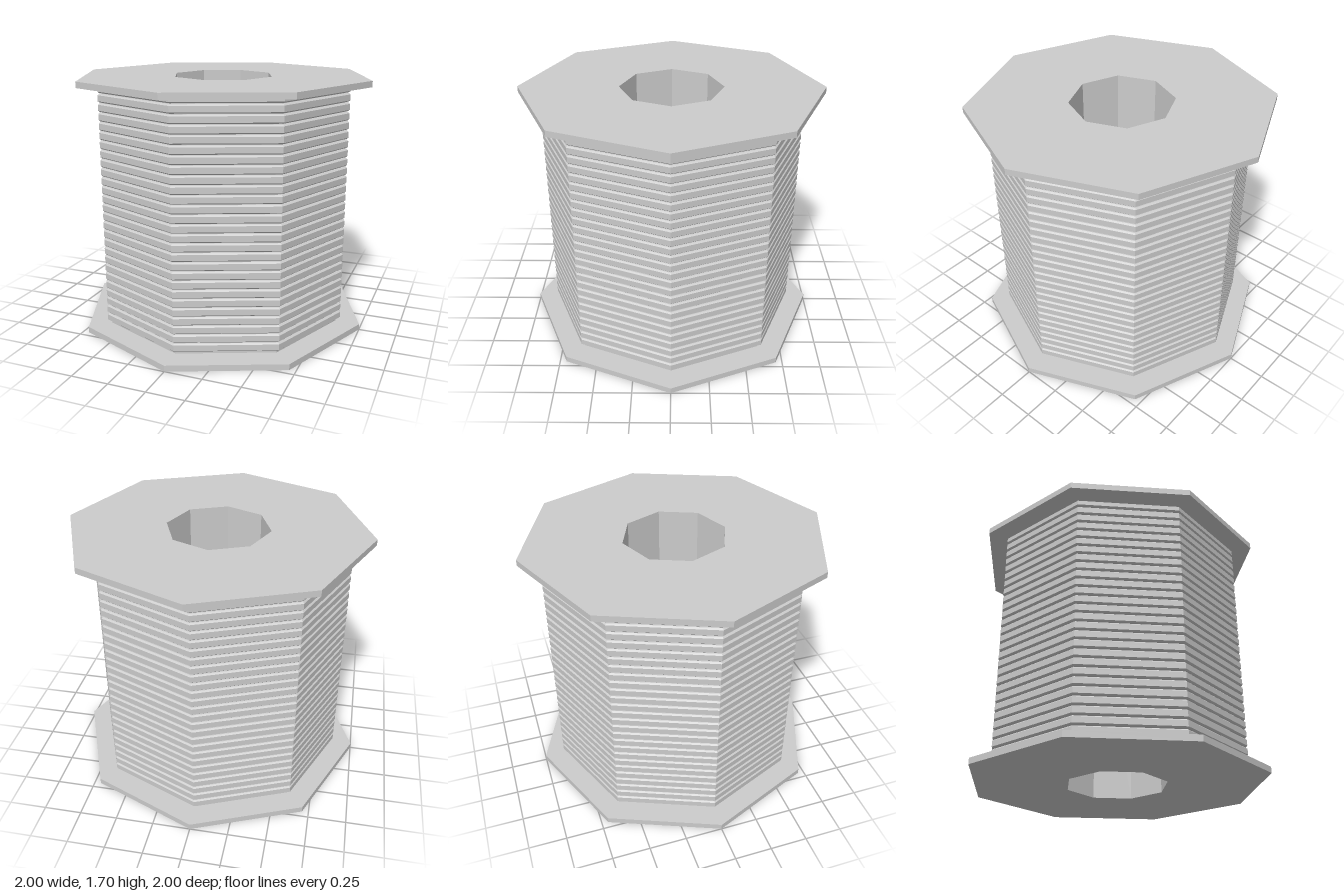
import * as THREE from 'three';

const SIDES = 8;
const HEIGHT = 1.7, FLANGE = 0.04;
const R_FLANGE = 1, R_BORE = 0.342, R_CORE = 0.835, R_WIRE = 0.865;
const PITCH = 0.06, FIRST = 0.06;

export function createModel() {
  const group = new THREE.Group();
  const material = new THREE.MeshStandardMaterial({ color: 0xcccccc, flatShading: true });

  // Eight-sided turned part from [radius, y] pairs; outer walls run upwards
  const turn = (name, profile) => {
    const points = profile.map(([r, y]) => new THREE.Vector2(r, y));
    const mesh = new THREE.Mesh(new THREE.LatheGeometry(points, SIDES), material);
    mesh.name = name;
    group.add(mesh);
  };

  // End plates with a central hole
  const flange = (name, y) => turn(name, [
    [R_BORE, y], [R_FLANGE, y], [R_FLANGE, y + FLANGE], [R_BORE, y + FLANGE],
  ]);
  flange('bottomFlange', 0);
  flange('topFlange', HEIGHT - FLANGE);

  // Inner wall of the hole through the spool
  turn('bore', [[R_BORE, HEIGHT], [R_BORE, 0]]);

  // Wound layers: bevelled bands separated by narrow grooves
  const top = HEIGHT - FLANGE;
  const winding = [[R_CORE, FLANGE]];
  for (let y = FIRST; y < top - 0.001; y += PITCH) {
    winding.push([R_CORE, y + 0.003], [R_WIRE - 0.01, y + 0.003], [R_WIRE, y + 0.011]);
    if (y + PITCH > top) {
      winding.push([R_WIRE, top]); // last band meets the top plate
    } else {
      winding.push([R_WIRE, y + PITCH - 0.011], [R_WIRE - 0.01, y + PITCH - 0.003], [R_CORE, y + PITCH - 0.003]);
    }
  }
  turn('winding', winding);

  return group;
}
